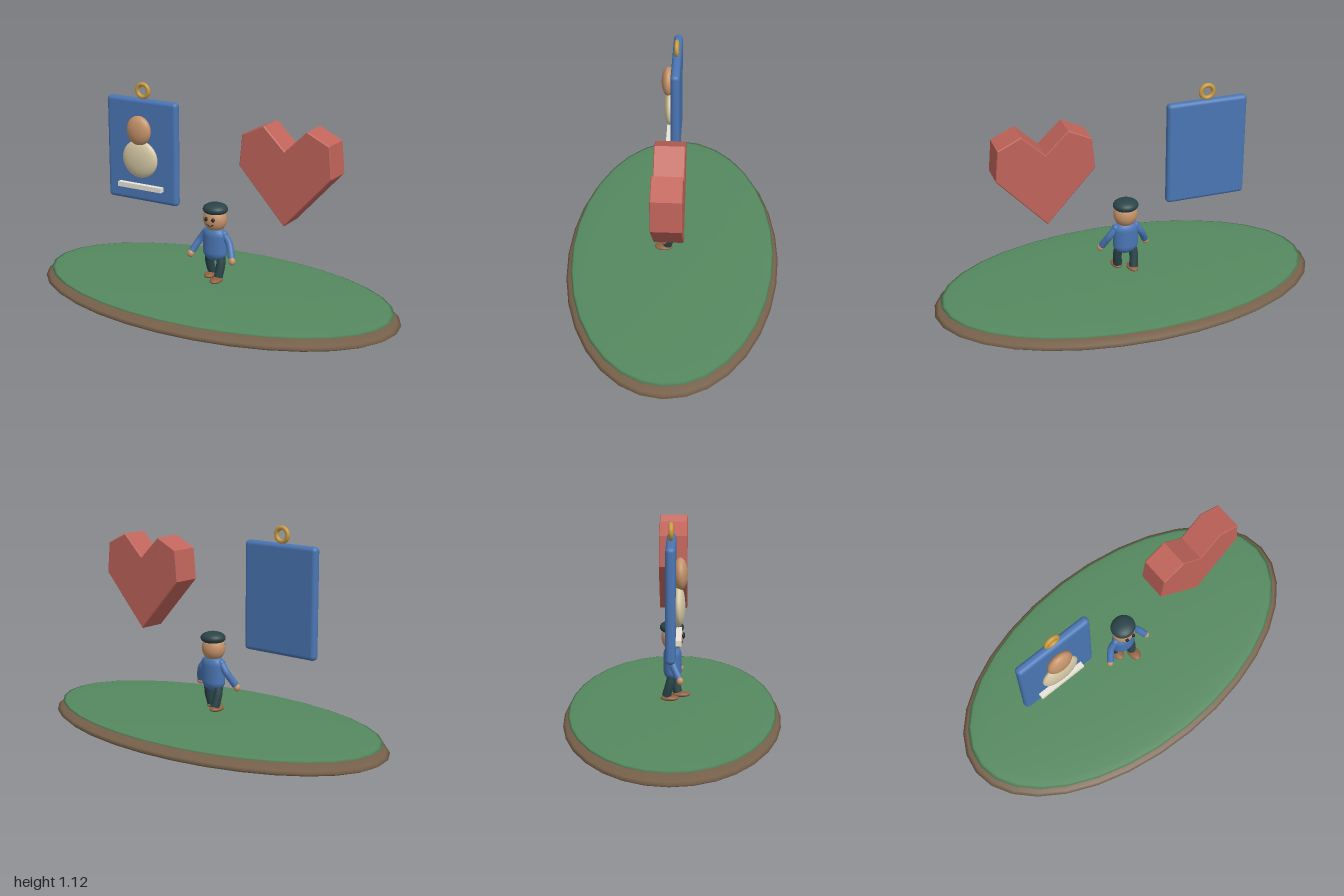
import * as THREE from 'three';
import { RoundedBoxGeometry } from 'three/addons/geometries/RoundedBoxGeometry.js';

const COLORS = {
  soil: 0x76604a, grass: 0x55895f, blue: 0x4a76b4, gold: 0xc89b40, skin: 0xc4936a,
  cream: 0xd6c9a6, paper: 0xe8e4d8, red: 0xc0645a, dark: 0x2a4448, shoe: 0x8f6040, ink: 0x1c2026,
};
const materials = {};
for (const [key, color] of Object.entries(COLORS)) materials[key] = new THREE.MeshStandardMaterial({ color });

function add(parent, name, geometry, key, x = 0, y = 0, z = 0) {
  const mesh = new THREE.Mesh(geometry, materials[key]);
  mesh.name = name;
  mesh.position.set(x, y, z);
  parent.add(mesh);
  return mesh;
}

function ellipsoid(rx, ry, rz, w = 32, h = 20) {
  return new THREE.SphereGeometry(1, w, h).scale(rx, ry, rz);
}

function group(parent, name) {
  const g = new THREE.Group();
  g.name = name;
  parent.add(g);
  return g;
}

// Smooth limb through a few points
function limb(points, radius) {
  const curve = new THREE.CatmullRomCurve3(points.map((p) => new THREE.Vector3(...p)));
  return new THREE.TubeGeometry(curve, 14, radius, 14, false);
}

function buildIsland(root) {
  const g = group(root, 'island');
  add(g, 'soil', ellipsoid(1, 0.058, 0.55, 32, 16), 'soil', 0, 0.058, 0);
  add(g, 'grass', ellipsoid(0.965, 0.018, 0.525, 32, 16), 'grass', 0, 0.105, 0);
}

function buildCard(root) {
  const g = group(root, 'portraitCard');
  g.position.x = -0.425;
  add(g, 'cardPanel', new RoundedBoxGeometry(0.42, 0.54, 0.046, 4, 0.02), 'blue', 0, 0.767, 0);
  add(g, 'hangingRing', new THREE.TorusGeometry(0.033, 0.011, 12, 28), 'gold', 0, 1.077, 0);
  add(g, 'portraitBody', ellipsoid(0.104, 0.099, 0.032), 'cream', 0, 0.727, 0.035);
  add(g, 'portraitHead', ellipsoid(0.07, 0.077, 0.035), 'skin', 0, 0.878, 0.043);
  add(g, 'captionBar', new THREE.BoxGeometry(0.262, 0.025, 0.03), 'paper', 0, 0.58, 0.035);
}

function buildHeart(root) {
  // Faceted outline, mirrored about the middle
  const half = [[0, 0.52], [0.247, 0.79], [0.232, 0.948], [0.115, 1.004], [0, 0.893]];
  const left = half.slice(1, 4).reverse().map(([x, y]) => [-x, y]);
  const shape = new THREE.Shape([...half, ...left].map(([x, y]) => new THREE.Vector2(x, y)));
  const geometry = new THREE.ExtrudeGeometry(shape, {
    depth: 0.138, bevelEnabled: true, bevelThickness: 0.004, bevelSize: 0.004, bevelOffset: -0.004, bevelSegments: 1,
  });
  add(root, 'heart', geometry, 'red', 0.425, 0, -0.069);
}

function buildFigure(root) {
  const g = group(root, 'figure');
  const torso = new THREE.CapsuleGeometry(0.05, 0.085, 10, 28).scale(1.32, 1, 0.9);
  add(g, 'torso', torso, 'blue', 0, 0.338, 0);
  add(g, 'head', ellipsoid(0.062, 0.066, 0.056), 'skin', 0, 0.468, 0);
  add(g, 'cap', ellipsoid(0.065, 0.032, 0.061), 'dark', 0, 0.52, -0.003);

  const smile = new THREE.TorusGeometry(0.02, 0.003, 8, 16, Math.PI * 0.7).rotateZ(Math.PI * 1.15);
  add(g, 'smile', smile, 'ink', 0, 0.462, 0.054).rotation.x = 0.25;

  for (const s of [-1, 1]) {
    const side = s > 0 ? 'left' : 'right';
    add(g, side + 'Eye', ellipsoid(0.009, 0.011, 0.009, 16, 12), 'ink', s * 0.02, 0.477, 0.054);

    // Arm, rounded shoulder and hand
    const arm = [[s * 0.052, 0.395, 0], [s * 0.083, 0.352, 0.002], [s * 0.104, 0.312, 0.02], [s * 0.116, 0.285, 0.034]];
    add(g, side + 'Arm', limb(arm, 0.018), 'blue');
    add(g, side + 'Shoulder', ellipsoid(0.02, 0.02, 0.02, 16, 12), 'blue', ...arm[0]);
    add(g, side + 'Hand', ellipsoid(0.017, 0.02, 0.017, 16, 12), 'skin', s * 0.122, 0.273, 0.039);

    // Legs in mid stride, left foot forward
    const ankle = s > 0 ? 0.026 : -0.03;
    const leg = [[s * 0.034, 0.285, 0], [s * 0.04, 0.23, ankle * 0.45], [s * 0.034, 0.17, ankle]];
    add(g, side + 'Leg', limb(leg, 0.023), 'dark');
    add(g, side + 'Shoe', ellipsoid(0.03, 0.014, 0.047, 20, 14), 'shoe', s * 0.034, 0.159, s > 0 ? 0.045 : -0.013);
  }
}

export function createModel() {
  const root = new THREE.Group();
  root.name = 'islandScene';
  buildIsland(root);
  buildCard(root);
  buildHeart(root);
  buildFigure(root);
  return root;
}
